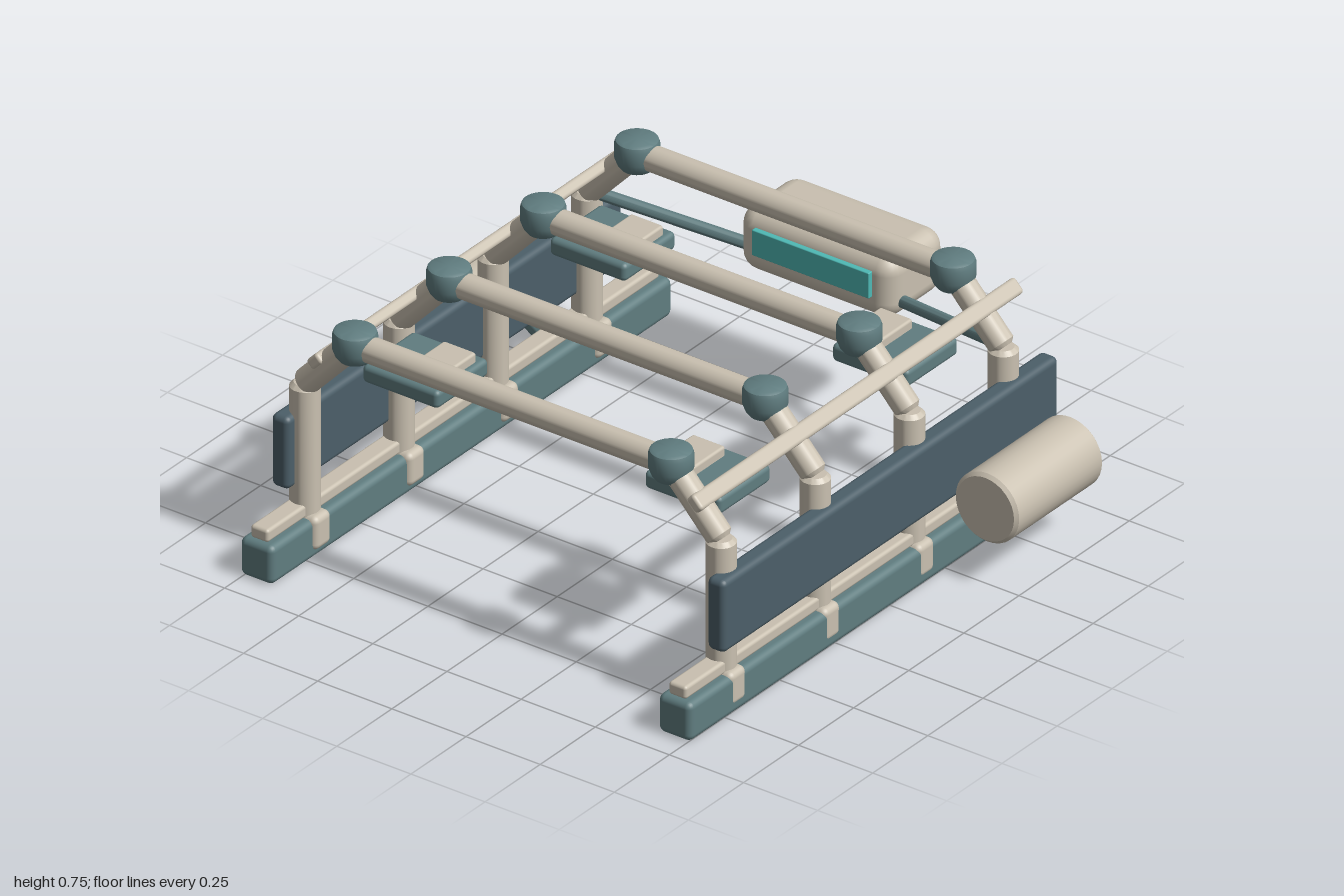
import * as THREE from 'three';
import { toCreasedNormals } from 'three/addons/utils/BufferGeometryUtils.js';
import { RoundedBoxGeometry } from 'three/addons/geometries/RoundedBoxGeometry.js';

const V = (x, y, z) => new THREE.Vector3(x, y, z);
const mat = (color) => new THREE.MeshStandardMaterial({ color });

export function createModel() {
  const model = new THREE.Group();
  const sand = mat(0xc9c0b0), teal = mat(0x607d80), slate = mat(0x4c5f69), cyan = mat(0x4fb9b5);

  const add = (name, geometry, material) => {
    const mesh = new THREE.Mesh(geometry, material);
    mesh.name = name;
    model.add(mesh);
    return mesh;
  };

  // rounded box from its size and centre
  const box = (name, material, [w, h, d], [x, y, z], r = 0.015) => {
    const mesh = add(name, new RoundedBoxGeometry(w, h, d, 3, r), material);
    mesh.position.set(x, y, z);
    return mesh;
  };

  // bevelled round bar between two points
  const rod = (name, material, a, b, r, bevel = 0.012) => {
    const h = a.distanceTo(b) / 2;
    const profile = [[0, -h], [r - bevel, -h], [r, bevel - h], [r, h - bevel], [r - bevel, h], [0, h]]
      .map(([px, py]) => new THREE.Vector2(px, py));
    const mesh = add(name, toCreasedNormals(new THREE.LatheGeometry(profile, 32), 0.5), material);
    mesh.position.copy(a).add(b).multiplyScalar(0.5);
    mesh.quaternion.setFromUnitVectors(V(0, 1, 0), b.clone().sub(a).normalize());
    return mesh;
  };

  const frameZ = [0.7, 0.273, -0.154, -0.58];

  // joint cap: domed edge on top, tapered skirt below
  const capProfile = [[0, 0.655], [0.045, 0.655], [0.055, 0.668], [0.063, 0.69], [0.063, 0.73],
    [0.059, 0.742], [0.05, 0.747], [0, 0.747]].map(([x, y]) => new THREE.Vector2(x, y));
  const capGeometry = toCreasedNormals(new THREE.LatheGeometry(capProfile, 32), 0.7);

  // crossbars
  for (const z of frameZ) rod('crossbar', sand, V(-0.53, 0.7, z), V(0.53, 0.7, z), 0.038);

  for (const s of [-1, 1]) {
    // skid with its top strip
    box('skid', teal, [0.112, 0.12, 1.82], [s * 0.705, 0.06, 0.01], 0.02);
    box('skidStrip', sand, [0.06, 0.04, 1.78], [s * 0.705, 0.14, 0.015], 0.01);

    // frame ribs
    for (const z of frameZ) {
      box('skidClamp', sand, [0.126, 0.105, 0.076], [s * 0.7, 0.077, z], 0.02);
      rod('post', sand, V(s * 0.702, 0.05, z), V(s * 0.702, 0.525, z), 0.043);
      rod('slopedStrut', sand, V(s * 0.703, 0.52, z), V(s * 0.535, 0.7, z), 0.039);
      add('jointCap', capGeometry, teal).position.set(s * 0.533, 0, z);
    }

    // long rail laid against the sloped struts
    box('sideRail', sand, [0.05, 0.034, 1.465], [s * 0.641, 0.625, 0.01], 0.01).rotation.z = -s * 0.8;

    // side panel
    box('sidePanel', slate, [0.06, 0.226, 1.522], [s * 0.735, 0.323, 0.012], 0.018);

    // canister and its bracket
    rod('canister', sand, V(s * 0.893, 0.239, -0.637), V(s * 0.893, 0.239, -0.241), 0.107, 0.01);
    rod('canisterBracket', teal, V(s * 0.71, 0.11, -0.44), V(s * 0.87, 0.215, -0.44), 0.032, 0.005);

    // inner trays with raised pads
    for (const z of [0.458, -0.392]) {
      box('tray', teal, [0.257, 0.055, 0.235], [s * 0.476, 0.524, z], 0.015);
      box('trayPad', sand, [0.11, 0.05, 0.167], [s * 0.42, 0.555, z], 0.008);
    }

    // arm carrying the rear pod
    rod('podArm', teal, V(s * 0.67, 0.52, -0.59), V(0, 0.397, -0.8), 0.018, 0.003);
  }

  // rear pod with its display
  box('rearPod', sand, [0.525, 0.196, 0.26], [0, 0.489, -0.792], 0.055);
  box('display', cyan, [0.395, 0.08, 0.02], [0, 0.503, -0.658], 0.003);

  return model;
}
